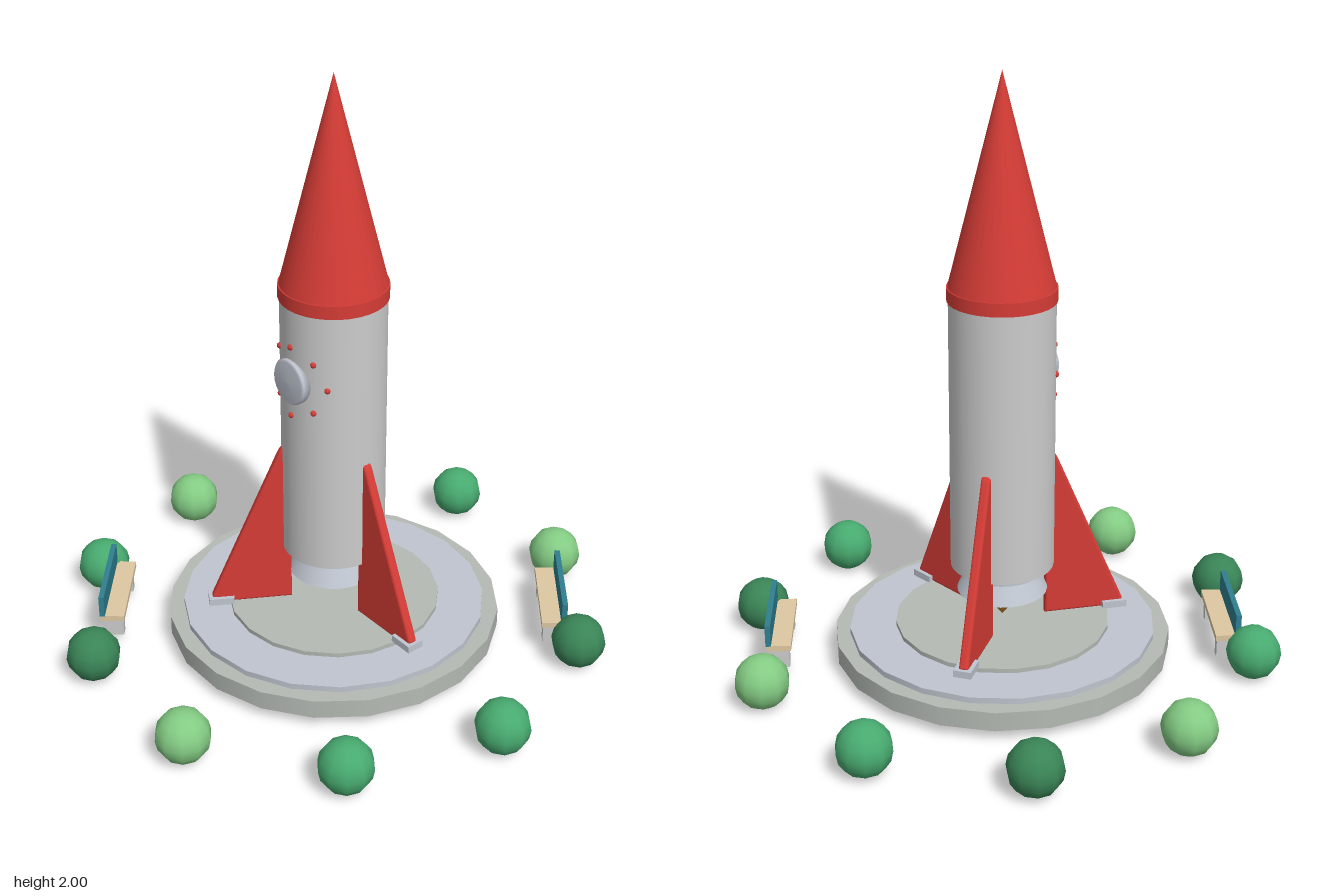
import * as THREE from 'three';

const mat = (color, side = THREE.FrontSide) => new THREE.MeshStandardMaterial({ color, side });
const grey = mat(0xcccccc);
const concrete = mat(0xb4bab4);
const steel = mat(0xbfc5cf);
const red = mat(0xd63c36);
const teal = mat(0x2f7f8f);
const wood = mat(0xdec8a2);
const flameMat = mat(0xc4842f);
const greens = [mat(0x3a8557), mat(0x48ab70), mat(0x84cc84)];

function add(parent, name, geometry, material, x = 0, y = 0, z = 0) {
  const mesh = new THREE.Mesh(geometry, material);
  mesh.name = name;
  mesh.position.set(x, y, z);
  parent.add(mesh);
  return mesh;
}

// Upright round part between two heights
function drum(parent, name, rTop, rBottom, y0, y1, material, sides = 32) {
  const g = new THREE.CylinderGeometry(rTop, rBottom, y1 - y0, sides);
  return add(parent, name, g, material, 0, (y0 + y1) / 2, 0);
}

function box(parent, name, w, h, d, material, x, y, z) {
  return add(parent, name, new THREE.BoxGeometry(w, h, d), material, x, y, z);
}

// Stepped launch pad
function makePad() {
  const pad = new THREE.Group();
  pad.name = 'launchPad';
  drum(pad, 'padBase', 0.565, 0.565, 0.04, 0.105, concrete, 20).rotation.y = Math.PI / 20;
  drum(pad, 'padStep', 0.515, 0.515, 0.1, 0.125, steel, 20);
  drum(pad, 'padTop', 0.36, 0.36, 0.12, 0.14, concrete, 20);
  return pad;
}

// Fin in the radius-height plane, with rounded edges and a foot
function makeFin() {
  const fin = new THREE.Group();
  fin.name = 'fin';
  const bevel = 0.009;
  const shape = new THREE.Shape();
  shape.moveTo(0.155, 0.149);
  shape.lineTo(0.409, 0.149);
  shape.lineTo(0.409, 0.165);
  shape.lineTo(0.18, 0.70);
  shape.quadraticCurveTo(0.17, 0.725, 0.155, 0.725);
  const g = new THREE.ExtrudeGeometry(shape, {
    depth: 0.014, bevelEnabled: true, bevelSize: bevel, bevelThickness: bevel,
    bevelSegments: 3, curveSegments: 6,
  });
  g.translate(0, 0, -0.007);
  add(fin, 'finBlade', g, red);
  box(fin, 'finFoot', 0.085, 0.024, 0.06, steel, 0.388, 0.15, 0);
  return fin;
}

// Round window on the front with a ring of rivets
function makeWindow(bodyRadius) {
  const win = new THREE.Group();
  win.name = 'window';
  const profile = [[0, 0], [0.077, 0], [0.077, 0.03], [0.07, 0.037], [0, 0.04]]
    .map(([r, h]) => new THREE.Vector2(r, h));
  const g = new THREE.LatheGeometry(profile, 24).rotateX(Math.PI / 2);
  add(win, 'windowDisc', g, steel, 0, 1.018, 0.15);
  for (let i = 0; i < 8; i++) {
    const a = (i * Math.PI) / 4;
    const x = 0.122 * Math.cos(a);
    const z = Math.sqrt(bodyRadius ** 2 - x * x);
    add(win, 'rivet', new THREE.SphereGeometry(0.01, 10, 8), red, x, 1.018 + 0.122 * Math.sin(a), z);
  }
  return win;
}

function makeRocket() {
  const rocket = new THREE.Group();
  rocket.name = 'rocket';
  const r = 0.173;
  drum(rocket, 'body', r, r, 0.345, 1.275, grey);
  drum(rocket, 'noseCollar', 0.178, 0.178, 1.27, 1.315, red);
  const nose = new THREE.ConeGeometry(0.175, 0.69, 32);
  add(rocket, 'noseCone', nose, red, 0, 1.655, 0);

  // Engine bell and flame
  drum(rocket, 'engineNeck', 0.138, 0.138, 0.32, 0.35, steel, 24);
  drum(rocket, 'engineBell', 0.115, 0.152, 0.25, 0.325, steel, 24);
  const flame = new THREE.ConeGeometry(0.085, 0.105, 12).rotateX(Math.PI);
  add(rocket, 'flame', flame, flameMat, 0, 0.2, 0);

  rocket.add(makeWindow(r));
  for (let i = 0; i < 3; i++) {
    const fin = makeFin();
    fin.rotation.y = (i * 2 * Math.PI) / 3;
    rocket.add(fin);
  }
  return rocket;
}

// Bench with its back on the outer side, facing the pad
function makeBench(angle) {
  const bench = new THREE.Group();
  bench.name = 'bench';
  box(bench, 'benchSeat', 0.325, 0.02, 0.08, wood, 0, 0.122, 0.745);
  box(bench, 'benchBack', 0.325, 0.075, 0.018, teal, 0, 0.168, 0.779);
  for (const side of [-1, 1]) {
    box(bench, 'benchLeg', 0.032, 0.072, 0.065, grey, side * 0.125, 0.076, 0.745);
  }
  bench.rotation.y = angle;
  return bench;
}

export function createModel() {
  const model = new THREE.Group();
  model.name = 'rocketOnPad';
  model.add(makePad(), makeRocket());
  for (const degrees of [-40, 140]) model.add(makeBench(THREE.MathUtils.degToRad(degrees)));

  // Ring of round bushes
  for (let i = 1; i <= 10; i++) {
    const a = (i * Math.PI) / 5;
    const g = new THREE.SphereGeometry(0.091, 10, 8);
    add(model, 'bush', g, greens[i % 3], 0.85 * Math.cos(a), 0.094, 0.85 * Math.sin(a));
  }
  return model;
}
